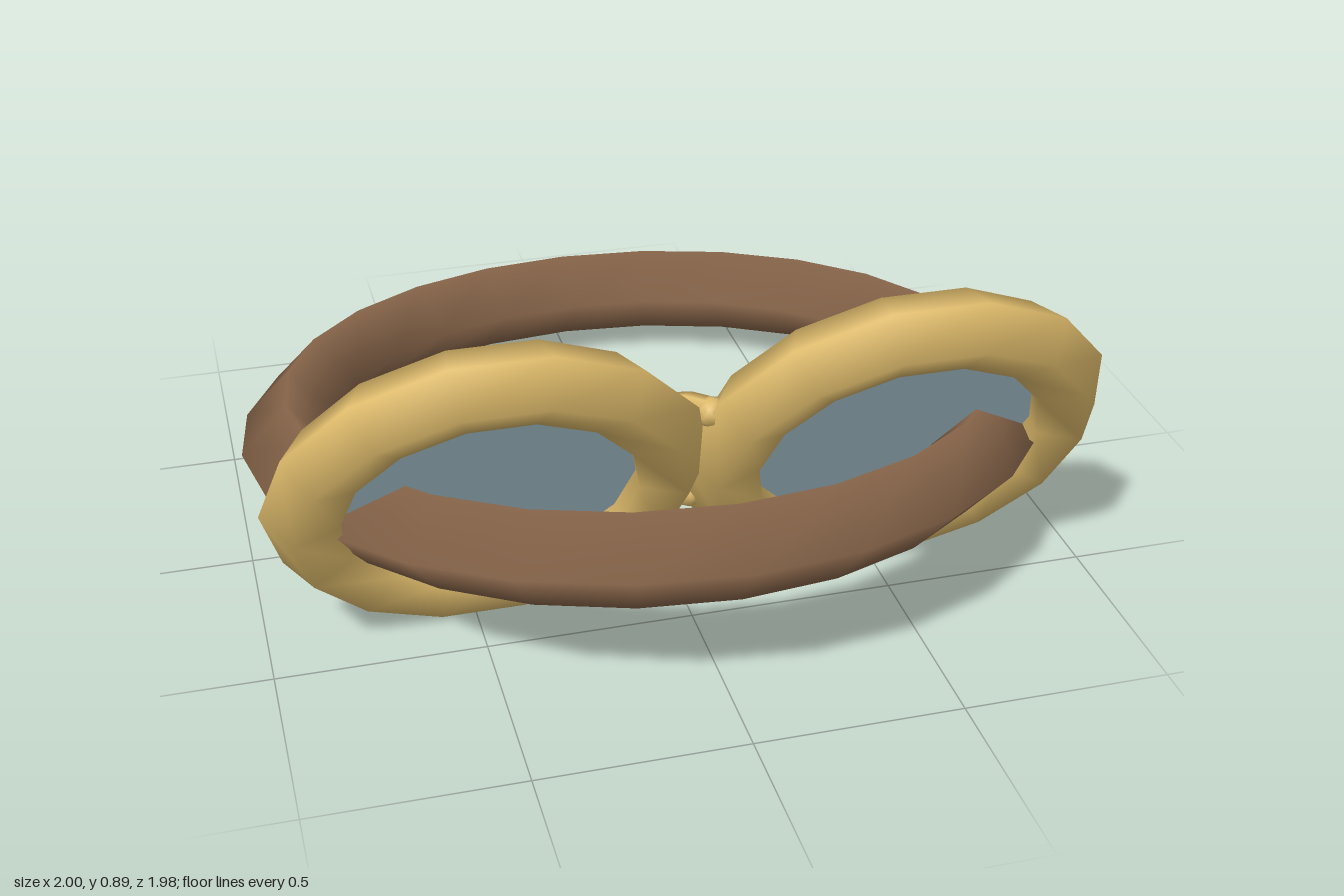
import * as THREE from 'three';

const material = (name, color) => {
  const m = new THREE.MeshStandardMaterial({ color });
  m.name = name;
  return m;
};

export function createModel() {
  const brass = material('brass', 0xdcb96a);
  const leather = material('leather', 0x8a674b);
  const glass = material('glass', 0xa8c4d0);

  const model = new THREE.Group();
  model.name = 'goggles';
  const add = (parent, name, geometry, mat) => {
    const mesh = new THREE.Mesh(geometry, mat);
    mesh.name = name;
    parent.add(mesh);
    return mesh;
  };

  // Head strap: a four-sided smooth ring, higher at the front
  const strap = add(model, 'strap',
    new THREE.TorusGeometry(0.885, 0.115, 4, 24).rotateX(Math.PI / 2), leather);
  strap.position.y = 0.31;
  strap.rotation.x = -0.137;

  // Eyepieces lean forward together
  const eyepieces = new THREE.Group();
  eyepieces.name = 'eyepieces';
  eyepieces.position.set(0, 0.446, 0.502);
  eyepieces.rotation.x = 0.489;
  model.add(eyepieces);

  for (const [side, sign] of [['left', 1], ['right', -1]]) {
    const rim = add(eyepieces, side + 'Rim',
      new THREE.TorusGeometry(0.42, 0.095, 5, 14), brass);
    rim.position.x = sign * 0.485;
    const lens = add(eyepieces, side + 'Lens',
      new THREE.CylinderGeometry(0.39, 0.39, 0.016, 14).rotateX(Math.PI / 2), glass);
    lens.position.x = sign * 0.485;
  }

  // Nose bridge: a small bent bar looping behind the right rim
  const path = new THREE.CatmullRomCurve3([
    [0.02, 0.165, -0.02], [-0.06, 0.12, -0.08], [-0.12, 0, -0.085],
    [-0.06, -0.12, -0.07], [0.01, -0.17, -0.01],
  ].map((p) => new THREE.Vector3(...p)));
  add(eyepieces, 'noseBridge', new THREE.TubeGeometry(path, 8, 0.036, 5), brass);

  // Rounded bar ends
  for (const t of [0, 1]) {
    const end = add(eyepieces, 'bridgeEnd', new THREE.SphereGeometry(0.036, 8, 6), brass);
    end.position.copy(path.getPoint(t));
  }

  return model;
}
